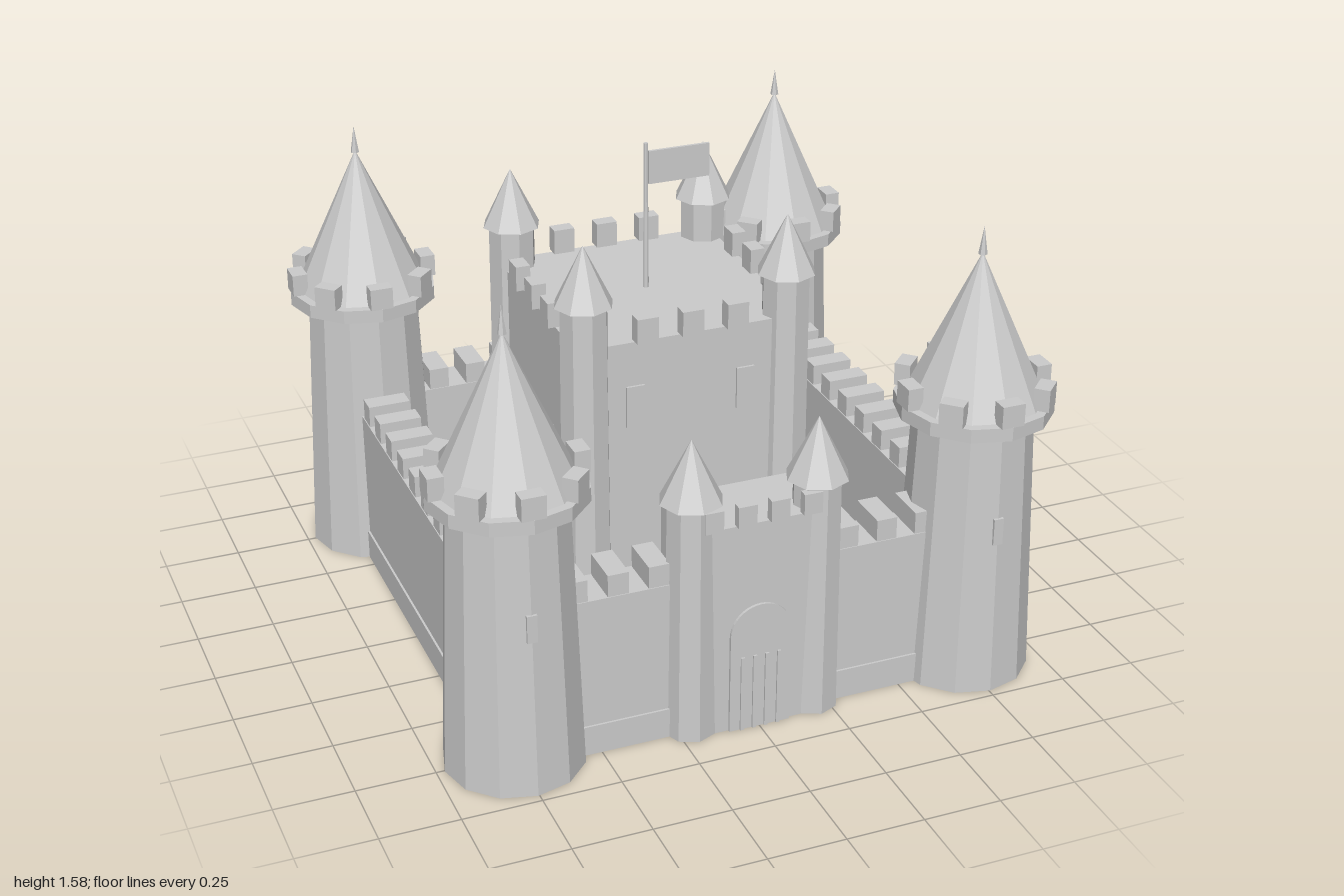
import * as THREE from 'three';

export function createModel() {
  const castle = new THREE.Group();
  castle.name = 'castle';
  const stone = new THREE.MeshStandardMaterial({ color: 0xcccccc, flatShading: true });
  stone.name = 'stone grey';

  const group = (name, parent = castle) => {
    const g = new THREE.Group();
    g.name = name;
    parent.add(g);
    return g;
  };
  const add = (parent, name, geometry, x, y, z) => {
    const mesh = new THREE.Mesh(geometry, stone);
    mesh.name = name;
    mesh.position.set(x, y, z);
    parent.add(mesh);
    return mesh;
  };
  // Box and tapered column, both placed by the middle of their base
  const box = (parent, name, w, h, d, x, y, z) =>
    add(parent, name, new THREE.BoxGeometry(w, h, d), x, y + h / 2, z);
  const column = (parent, name, rTop, rBottom, h, sides, x, y, z) =>
    add(parent, name, new THREE.CylinderGeometry(rTop, rBottom, h, sides), x, y + h / 2, z);
  const cone = (parent, name, r, h, sides, x, y, z) =>
    add(parent, name, new THREE.ConeGeometry(r, h, sides), x, y + h / 2, z);

  // Corner towers: shaft, ledge, ring of merlons, roof, spike and arrow slit
  const T = 0.754;
  for (const sx of [-1, 1]) {
    for (const sz of [-1, 1]) {
      const tower = group('cornerTower');
      tower.position.set(sx * T, 0, sz * T);
      column(tower, 'towerShaft', 0.186, 0.22, 0.9, 12, 0, 0, 0);
      column(tower, 'towerLedge', 0.246, 0.246, 0.045, 12, 0, 0.9, 0);
      for (let i = 0; i < 8; i++) {
        const a = (i * Math.PI) / 4;
        box(tower, 'towerMerlon', 0.075, 0.073, 0.05,
          Math.sin(a) * 0.22, 0.945, Math.cos(a) * 0.22).rotation.y = a;
      }
      cone(tower, 'towerRoof', 0.217, 0.472, 12, 0, 0.945, 0);
      cone(tower, 'roofSpike', 0.014, 0.09, 6, 0, 1.41, 0);
      box(tower, 'arrowSlit', 0.032, 0.09, 0.03, 0, 0.52, sz * 0.188);
    }
  }

  // Curtain walls with plinth; each is built along x and turned into place
  const wall = (name, angle, merlons) => {
    const g = group(name);
    g.rotation.y = angle;
    box(g, 'wallPlinth', 1.4, 0.1, 0.16, 0, 0, T);
    box(g, 'wallBody', 1.4, 0.435, 0.146, 0, 0.1, T);
    for (const x of merlons) box(g, 'wallMerlon', 0.067, 0.072, 0.14, x, 0.535, T);
  };
  const even = Array.from({ length: 9 }, (_, i) => (i - 4) * 0.13);
  wall('frontWall', 0, [-0.57, -0.44, -0.31, 0.31, 0.44, 0.57]);
  wall('leftWall', Math.PI / 2, even);
  wall('backWall', Math.PI, even);
  wall('rightWall', -Math.PI / 2, even);

  // Slim turret with a pointed roof
  const turret = (parent, x, z, h, rTop, rBottom, rRoof, roofH) => {
    const g = group('turret', parent);
    g.position.set(x, 0, z);
    column(g, 'turretShaft', rTop, rBottom, h, 8, 0, 0, 0);
    cone(g, 'turretRoof', rRoof, roofH, 8, 0, h, 0);
  };

  // Keep: block, turrets, merlons and front windows
  const keep = group('keep');
  keep.position.z = -0.066;
  box(keep, 'keepBody', 0.75, 1.088, 0.75, 0, 0, 0);
  for (const sx of [-1, 1]) {
    for (const sz of [-1, 1]) turret(keep, sx * 0.337, sz * 0.337, 1.225, 0.077, 0.084, 0.095, 0.193);
    box(keep, 'keepWindow', 0.06, 0.14, 0.016, sx * 0.185, 0.8, 0.375);
  }
  for (let side = 0; side < 4; side++) {
    const row = group('keepMerlons', keep);
    row.rotation.y = (side * Math.PI) / 2;
    for (const x of [-0.15, 0, 0.15]) box(row, 'keepMerlon', 0.07, 0.083, 0.048, x, 1.088, 0.375);
  }

  // Flag on the keep roof
  column(keep, 'flagPole', 0.007, 0.01, 0.49, 8, 0, 1.088, 0);
  box(keep, 'flag', 0.205, 0.11, 0.01, 0.112, 1.44, 0);

  // Gatehouse: block, turrets and merlons
  const gate = group('gatehouse');
  box(gate, 'gateBody', 0.445, 0.715, 0.25, 0, 0, 0.745);
  for (const sx of [-1, 1]) turret(gate, sx * 0.205, 0.81, 0.8, 0.077, 0.085, 0.1, 0.2);
  for (const x of [-0.16, -0.053, 0.053, 0.16]) box(gate, 'gateMerlon', 0.06, 0.07, 0.03, x, 0.715, 0.87);

  // Arched door with portcullis bars
  const arch = new THREE.Shape();
  arch.moveTo(-0.1, 0);
  arch.lineTo(0.1, 0);
  arch.lineTo(0.1, 0.335);
  arch.absarc(0, 0.335, 0.1, 0, Math.PI, false);
  arch.closePath();
  add(gate, 'archedDoor',
    new THREE.ExtrudeGeometry(arch, { depth: 0.009, bevelEnabled: false, curveSegments: 10 }), 0, 0, 0.87);
  for (const x of [-0.06, -0.02, 0.02, 0.06]) box(gate, 'portcullisBar', 0.012, 0.26, 0.008, x, 0, 0.881);

  return castle;
}
